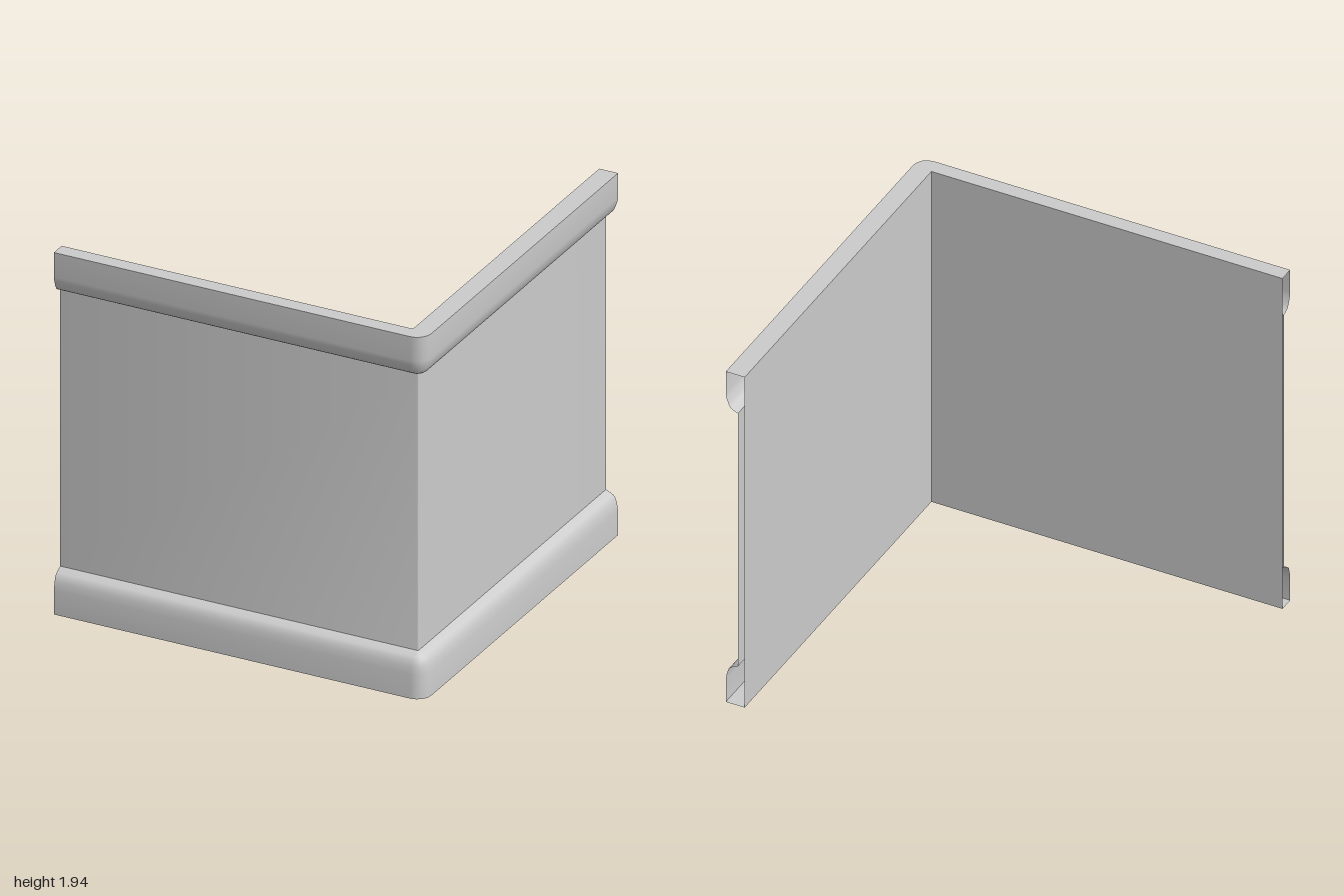
import * as THREE from 'three';
import { toCreasedNormals } from 'three/addons/utils/BufferGeometryUtils.js';

const HEIGHT = 1.94;
const INNER_X = 0.898, INNER_Z = 0.92; // inside faces of the two walls
const CORNER = 0.925; // centre of the rounded outer corner
const CORNER_STEPS = 4;

// Wall section from the floor up: [distance outwards, height]
const profile = [
  [1, 0], [1, 0.13], [0.994, 0.17], [0.984, 0.2], [0.972, 0.212], [0.935, 0.23],
  [0.935, 1.715], [0.96, 1.725], [0.975, 1.735], [0.985, 1.755], [0.996, 1.785], [1, 1.81], [1, HEIGHT],
];

// Plan line at a given outward distance: front wall, rounded corner, side wall
function planLine(d) {
  const r = d - CORNER;
  const points = [[-1, d]];
  for (let i = 0; i <= CORNER_STEPS; i++) {
    const a = (i / CORNER_STEPS) * Math.PI / 2;
    points.push([CORNER + r * Math.sin(a), CORNER + r * Math.cos(a)]);
  }
  points.push([d, -1]);
  return points;
}

// Sweep the section along the plan line
function sweptFace() {
  const positions = [], indices = [];
  const columns = CORNER_STEPS + 3;
  for (const [d, y] of profile) {
    for (const [x, z] of planLine(d)) positions.push(x, y, z);
  }
  for (let j = 0; j < profile.length - 1; j++) {
    for (let i = 0; i < columns - 1; i++) {
      const a = j * columns + i, b = a + columns;
      indices.push(a, a + 1, b + 1, a, b + 1, b);
    }
  }
  const geometry = new THREE.BufferGeometry();
  geometry.setAttribute('position', new THREE.Float32BufferAttribute(positions, 3));
  geometry.setIndex(indices);
  return toCreasedNormals(geometry, 0.6);
}

// Flat L-shaped strip closing the top or bottom
function edgeStrip(side) {
  const outline = [...planLine(1), [INNER_X, -1], [INNER_X, INNER_Z], [-1, INNER_Z]];
  const shape = new THREE.Shape(outline.map(([x, z]) => new THREE.Vector2(x, -side * z)));
  return new THREE.ShapeGeometry(shape).rotateX(-side * Math.PI / 2);
}

export function createModel() {
  const group = new THREE.Group();
  group.name = 'cornerWall';
  const material = new THREE.MeshStandardMaterial({ color: 0xcccccc, side: THREE.DoubleSide });
  const add = (name, geometry, x = 0, y = 0, z = 0) => {
    const mesh = new THREE.Mesh(geometry, material);
    mesh.name = name;
    mesh.position.set(x, y, z);
    group.add(mesh);
  };

  // Outside face with its base and top mouldings; the wall ends stay open
  add('mouldedOuterFace', sweptFace());
  add('topEdge', edgeStrip(1), 0, HEIGHT, 0);
  add('bottomEdge', edgeStrip(-1));

  // Plain inside faces
  const frontWidth = INNER_X + 1, sideWidth = INNER_Z + 1;
  add('frontInnerFace', new THREE.PlaneGeometry(frontWidth, HEIGHT).rotateY(Math.PI),
    INNER_X - frontWidth / 2, HEIGHT / 2, INNER_Z);
  add('sideInnerFace', new THREE.PlaneGeometry(sideWidth, HEIGHT).rotateY(-Math.PI / 2),
    INNER_X, HEIGHT / 2, INNER_Z - sideWidth / 2);

  return group;
}
